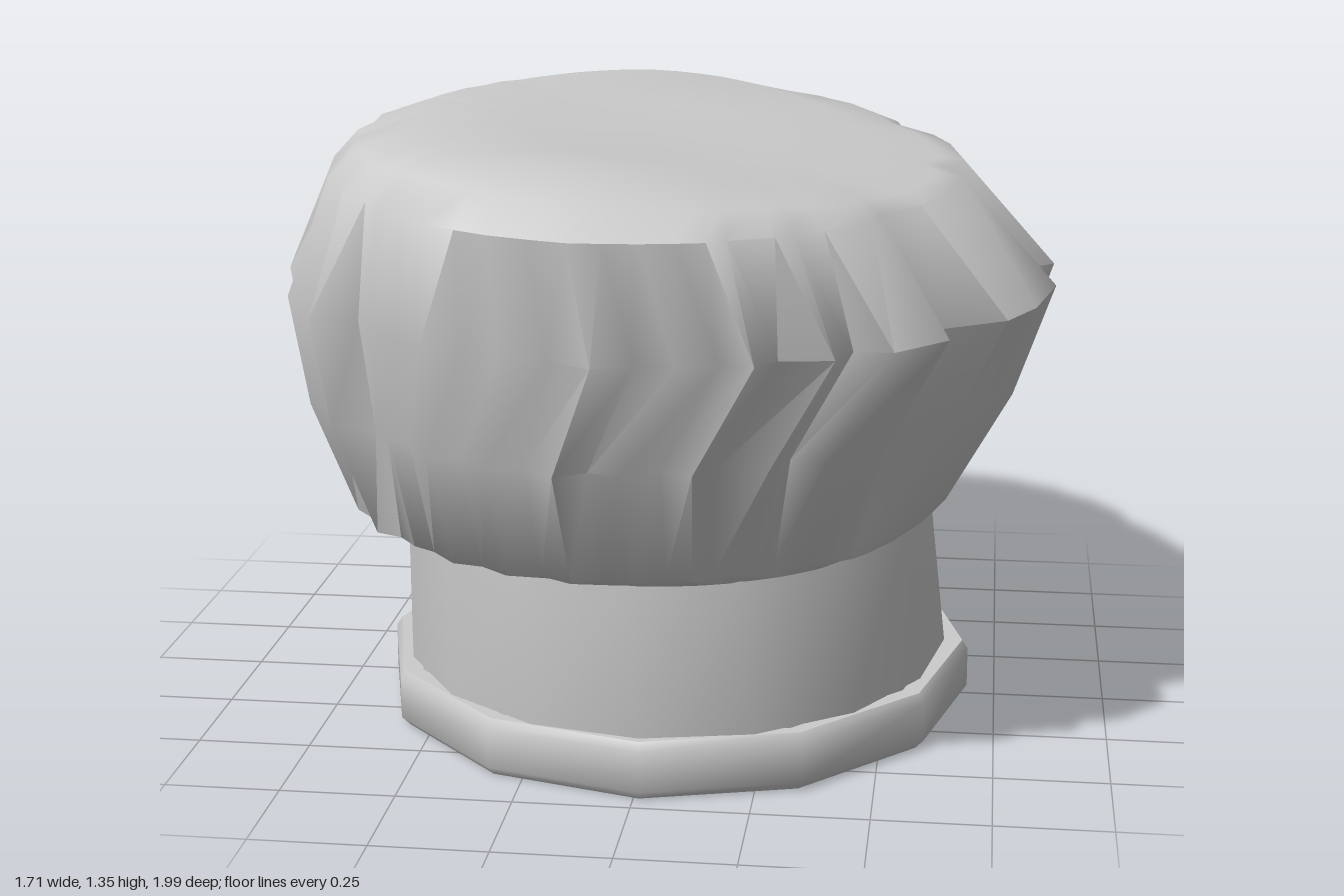
import * as THREE from 'three';
import { toCreasedNormals } from 'three/addons/utils/BufferGeometryUtils.js';

const { lerp, clamp } = THREE.MathUtils;

// Skin closed rings of [x, y, z], ordered bottom to top, anticlockwise from above
function loft(rings, crease, closeTop) {
  const n = rings[0].length, index = [];
  const pos = rings.flat(2);
  for (let r = 0; r < rings.length - 1; r++) {
    for (let i = 0; i < n; i++) {
      const j = (i + 1) % n;
      const a = r * n + i, b = r * n + j, c = b + n, d = a + n;
      index.push(a, b, c, a, c, d);
    }
  }
  if (closeTop) {
    const base = (rings.length - 1) * n, tip = rings.length * n;
    pos.push(...closeTop);
    for (let i = 0; i < n; i++) index.push(base + i, base + (i + 1) % n, tip);
  }
  const geo = new THREE.BufferGeometry();
  geo.setAttribute('position', new THREE.Float32BufferAttribute(pos, 3));
  geo.setIndex(index);
  return toCreasedNormals(geo, crease);
}

function ellipse(rx, rz, y, cx, n) {
  return Array.from({ length: n }, (_, i) => {
    const a = (i / n) * Math.PI * 2;
    return [cx + rx * Math.cos(a), y, -rz * Math.sin(a)];
  });
}

// Half of the pleated outline at its widest, from +x round to -x
const HALF = [
  [0.73, 0], [0.855, 0.12], [0.81, 0.35], [0.75, 0.48], [0.62, 0.57], [0.635, 0.67],
  [0.53, 0.79], [0.45, 0.81], [0.42, 0.87], [0.31, 0.91], [0.27, 0.945], [0.2, 0.955],
  [0.12, 0.97], [0.04, 0.98], [-0.04, 0.995], [-0.13, 0.965], [-0.23, 0.94], [-0.31, 0.9],
  [-0.4, 0.86], [-0.47, 0.79], [-0.53, 0.72], [-0.575, 0.64], [-0.68, 0.64],
  [-0.69, 0.5], [-0.78, 0.43], [-0.815, 0.25], [-0.76, 0.2], [-0.855, 0.13], [-0.8, 0],
];
const OUTLINE = [
  ...HALF.map(([x, z]) => [x, -z]),
  ...HALF.slice(1, -1).reverse(),
];

// Scaled outline; pleat 0 gives a smooth oval, 1 the full folds.
// ripple pulls every other point of the front and back inwards,
// sweep drags the folds of the front and back towards -x.
function pleatRing(sx, sz, cx, pleat, height, ripple = 0, sweep = 0) {
  return OUTLINE.map(([px, pz], i) => {
    const a = Math.atan2(pz / 0.98, px / 0.8);
    const pull = i % 2 && Math.abs(pz) > 0.75 ? 1 - ripple : 1;
    const drag = sweep * Math.abs(pz) * clamp((px + 0.5) / 0.6, 0, 1);
    const x = cx + sx * lerp(0.8 * Math.cos(a), px, pleat) - drag;
    const z = sz * pull * lerp(0.98 * Math.sin(a), pz, pleat);
    return [x, typeof height === 'function' ? height(x, z) : height, z];
  });
}

export function createModel() {
  const hat = new THREE.Group();
  hat.name = 'chefHat';
  const cloth = new THREE.MeshStandardMaterial({ color: 0xcccccc, side: THREE.DoubleSide });
  cloth.name = 'white cloth';

  const add = (name, geo) => {
    const mesh = new THREE.Mesh(geo, cloth);
    mesh.name = name;
    hat.add(mesh);
  };

  // Rolled hem around the foot of the hat: [x radius, z radius, y]
  const hem = [
    [0.635, 0.68, 0.01], [0.655, 0.7, 0], [0.675, 0.717, 0.02],
    [0.675, 0.717, 0.11], [0.662, 0.707, 0.13], [0.62, 0.68, 0.13],
  ];
  add('hem', loft(hem.map(([rx, rz, y]) => ellipse(rx, rz, y, 0.012, 12)), 0.9));

  // Headband, leaning in slightly on the left
  add('headband', loft([
    ellipse(0.615, 0.66, 0.01, 0.01, 16),
    ellipse(0.622, 0.688, 0.13, 0.01, 16),
    ellipse(0.602, 0.69, 0.48, -0.01, 16),
  ], 0.7));

  // Pleated crown: gathered at the band, widest at mid height, sloping top
  const slope = (x, z) => 1.3 - 0.09 * x + 0.035 * Math.min(1, (z / 0.72) ** 4);
  const rim = (x) => 1.243 - 0.015 * x;
  add('crown', loft([
    pleatRing(0.745, 0.7, -0.01, 0, 0.465),
    pleatRing(0.825, 0.785, -0.045, 0.45, 0.495, 0.03, 0.05),
    pleatRing(0.94, 0.89, -0.02, 0.95, 0.75, 0.04, 0.1),
    pleatRing(1, 0.995, 0, 1, 1.0, 0.025),
    pleatRing(0.85, 1.01, -0.05, 0.4, rim),
    pleatRing(0.79, 0.92, -0.05, 0.3, (x, z) => lerp(rim(x), slope(x, z), 0.55)),
    pleatRing(0.66, 0.74, -0.05, 0.15, slope),
    pleatRing(0.36, 0.4, -0.04, 0, slope),
  ], 1.0, [-0.04, 1.304, 0]));

  return hat;
}
